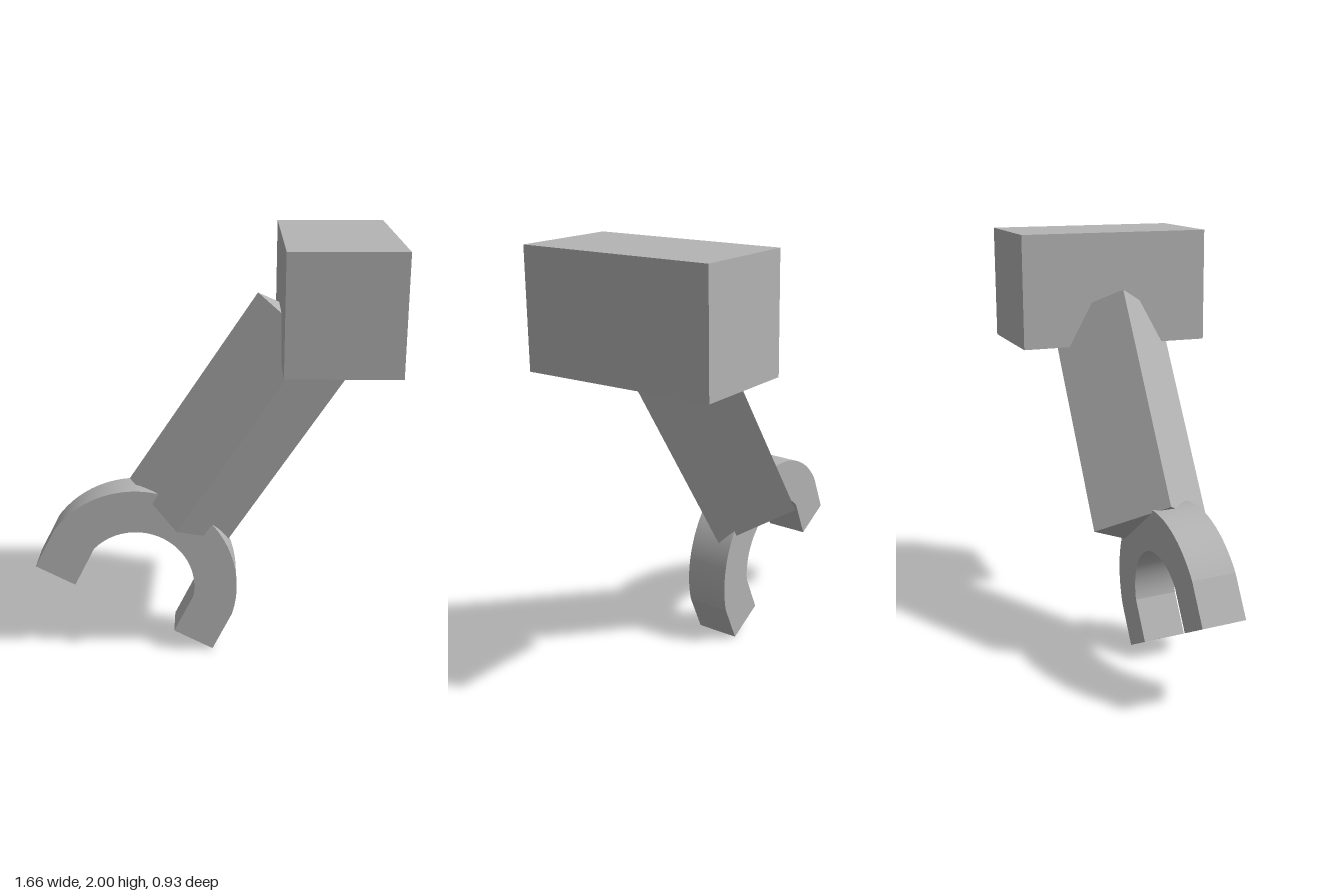
import * as THREE from 'three';
import { toCreasedNormals } from 'three/addons/utils/BufferGeometryUtils.js';

export function createModel() {
  const model = new THREE.Group();
  model.name = 'clawArm';
  const grey = new THREE.MeshStandardMaterial({ color: 0xb4b4b4 });
  grey.name = 'grey';

  const addPart = (name, geometry, x, y, z) => {
    const mesh = new THREE.Mesh(geometry, grey);
    mesh.name = name;
    mesh.position.set(x, y, z);
    model.add(mesh);
    return mesh;
  };

  // Shoulder block at the top
  addPart('shoulderBlock', new THREE.BoxGeometry(0.51, 0.54, 0.93), 0.575, 1.73, 0);

  // Square arm, turned on edge about its own axis and leaning to +x
  const armGeometry = new THREE.BoxGeometry(0.402, 1.086, 0.402).rotateY(Math.PI / 4);
  addPart('arm', armGeometry, 0.153, 1.129, 0).rotation.z = -Math.atan2(0.602, 0.903);

  // Claw: an arc with two straight prongs
  const outer = 0.475, inner = 0.266; // half widths at the prongs
  const prong = 0.206, drop = 0.08; // prong length, arc centre below the prong roots
  const centreY = prong - drop;
  const outerAngle = Math.atan2(drop, outer);
  const innerAngle = Math.atan2(drop, inner);
  const shape = new THREE.Shape();
  shape.moveTo(outer, 0);
  shape.lineTo(outer, prong);
  shape.absarc(0, centreY, Math.hypot(outer, drop), outerAngle, Math.PI - outerAngle, false);
  shape.lineTo(-outer, 0);
  shape.lineTo(-inner, 0);
  shape.lineTo(-inner, prong);
  shape.absarc(0, centreY, Math.hypot(inner, drop), Math.PI - innerAngle, innerAngle, true);
  shape.lineTo(inner, 0);
  shape.closePath();
  const depth = 0.206;
  const clawGeometry = new THREE.ExtrudeGeometry(shape, { depth, bevelEnabled: false, curveSegments: 32 });
  clawGeometry.translate(0, 0, -depth / 2);
  const claw = addPart('claw', toCreasedNormals(clawGeometry, 0.14), -0.41, 0.222, 0.06);
  claw.rotation.set(-0.045, 0, -0.473, 'ZXY');

  return model;
}
